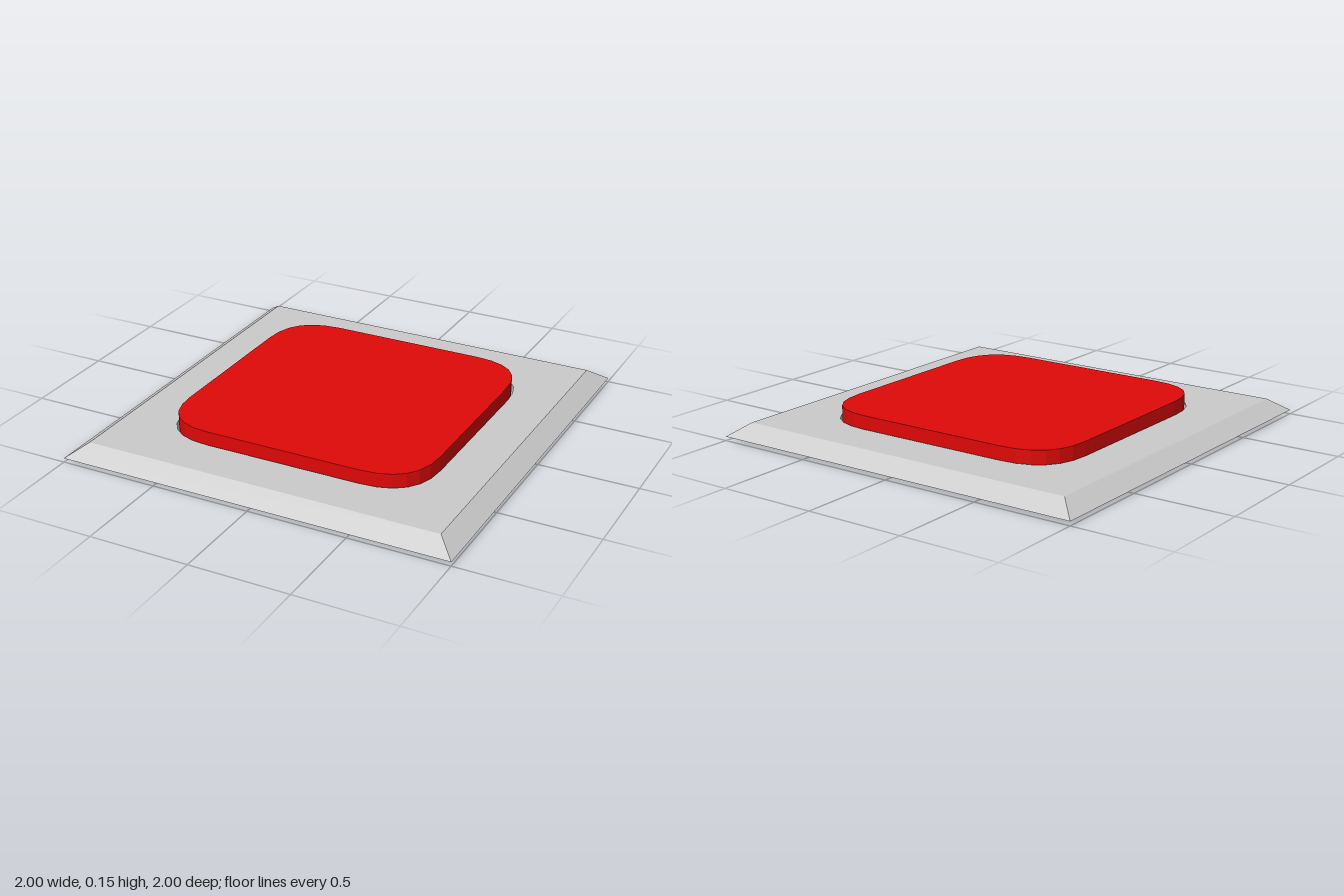
import * as THREE from 'three';

const CORNER = 6; // segments per rounded corner

// Rounded square: straight sides joined by quadratic corner curves
function roundedSquare(h, s, PathType = THREE.Shape) {
  const p = new PathType();
  p.moveTo(h, -s);
  p.lineTo(h, s);
  p.quadraticCurveTo(h, h, s, h);
  p.lineTo(-s, h);
  p.quadraticCurveTo(-h, h, -h, s);
  p.lineTo(-h, -s);
  p.quadraticCurveTo(-h, -h, -s, -h);
  p.lineTo(s, -h);
  p.quadraticCurveTo(h, -h, h, -s);
  return p;
}

// Vertical open wall following an outline from y0 to y1
function wallGeometry(outline, y0, y1) {
  const pts = outline.getPoints(CORNER);
  const pos = [];
  for (let i = 0; i < pts.length - 1; i++) {
    const a = pts[i], b = pts[i + 1];
    pos.push(a.x, y0, -a.y, b.x, y0, -b.y, b.x, y1, -b.y);
    pos.push(a.x, y0, -a.y, b.x, y1, -b.y, a.x, y1, -a.y);
  }
  const g = new THREE.BufferGeometry();
  g.setAttribute('position', new THREE.Float32BufferAttribute(pos, 3));
  g.computeVertexNormals();
  return g;
}

export function createModel() {
  const group = new THREE.Group();
  const grey = new THREE.MeshStandardMaterial({ color: 0xcccccc, flatShading: true, side: THREE.DoubleSide });
  const red = new THREE.MeshStandardMaterial({ color: 0xe00808, flatShading: true });

  const add = (name, geometry, material, y = 0) => {
    const mesh = new THREE.Mesh(geometry, material);
    mesh.name = name;
    mesh.position.y = y;
    group.add(mesh);
  };

  const rimY = 0.02, topY = 0.085, inner = 0.91;
  const pocket = roundedSquare(0.679, 0.4);

  // Flat top of the plate with the pocket opening
  const top = new THREE.Shape();
  top.moveTo(-inner, -inner);
  top.lineTo(inner, -inner);
  top.lineTo(inner, inner);
  top.lineTo(-inner, inner);
  top.closePath();
  top.holes.push(roundedSquare(0.679, 0.4, THREE.Path));
  add('plateTop', new THREE.ShapeGeometry(top, CORNER).rotateX(-Math.PI / 2), grey, topY);

  // Sloped border, open underneath
  const bevel = new THREE.CylinderGeometry(inner * Math.SQRT2, Math.SQRT2, topY - rimY, 4, 1, true);
  add('plateBevel', bevel.rotateY(Math.PI / 4), grey, (topY + rimY) / 2);

  // Pocket that holds the button
  add('pocketWall', wallGeometry(pocket, 0, topY), grey);
  add('pocketFloor', new THREE.ShapeGeometry(pocket, CORNER).rotateX(-Math.PI / 2), grey);

  // Raised button
  const button = new THREE.ExtrudeGeometry(roundedSquare(0.671, 0.395), {
    depth: 0.145, bevelEnabled: false, curveSegments: CORNER,
  });
  add('button', button.rotateX(-Math.PI / 2), red, 0.005);

  return group;
}
